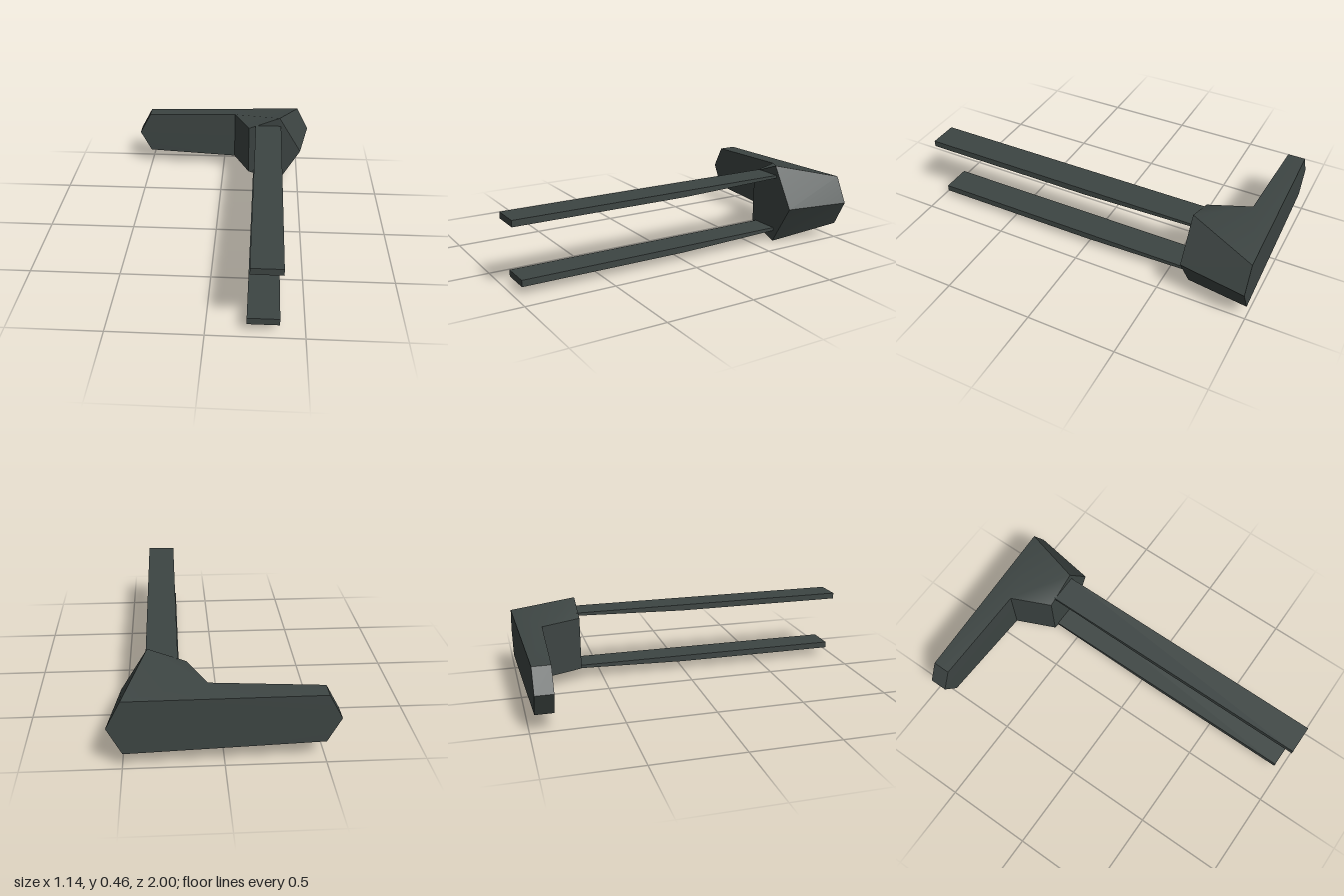
import * as THREE from 'three';
import { toCreasedNormals } from 'three/addons/utils/BufferGeometryUtils.js';

const darkMetal = new THREE.MeshStandardMaterial({ color: 0x3d4543 });
darkMetal.name = 'darkMetal';

// Solid from corner points and convex polygons, fanned into triangles
function polySolid(corners, faces) {
  const index = [];
  for (const f of faces) {
    for (let i = 1; i < f.length - 1; i++) index.push(f[0], f[i], f[i + 1]);
  }
  const g = new THREE.BufferGeometry();
  g.setAttribute('position', new THREE.Float32BufferAttribute(corners.flat(), 3));
  g.setIndex(index);
  return toCreasedNormals(g, 0.65);
}

// Handle: long six-sided arm that swells into a faceted head
function makeHandle() {
  const corners = [
    // back plate 0-5
    [-0.57, 0.23, -0.97], [-0.5, 0.36, -0.97], [0.495, 0.375, -1],
    [0.57, 0.23, -1], [0.495, 0.085, -1], [-0.5, 0.1, -0.97],
    // front of the arm 6-10
    [-0.57, 0.23, -0.87], [-0.5, 0.36, -0.87], [0.075, 0.383, -0.855],
    [0.075, 0.077, -0.855], [-0.5, 0.1, -0.87],
    // front of the head 11-15
    [0.175, 0.385, -0.63], [0.37, 0.46, -0.63], [0.51, 0.23, -0.63],
    [0.37, 0, -0.63], [0.175, 0.075, -0.63],
  ];
  const faces = [
    [0, 1, 2, 3, 4, 5], [6, 10, 9, 8, 7], // back, arm front
    [8, 9, 15, 11], [11, 15, 14, 13, 12], // neck, head front
    [8, 2, 1, 7], [8, 11, 12], [8, 12, 2], // top
    [9, 10, 5, 4], [9, 14, 15], [9, 4, 14], // bottom
    [2, 12, 13, 3], [3, 13, 14, 4], // head side
    [0, 6, 7, 1], [5, 10, 6, 0], // arm tip
  ];
  const mesh = new THREE.Mesh(polySolid(corners, faces), darkMetal);
  mesh.name = 'handle';
  return mesh;
}

// Rail: flat bar whose underside thins out toward the handle
function makeRail(name, x0, x1, top, thick, thin, zEnd) {
  const side = new THREE.Shape([
    [-zEnd, top], [-zEnd, top - thick], [0, top - thick],
    [0.64, top - thin], [0.64, top],
  ].map(([x, y]) => new THREE.Vector2(x, y)));
  const g = new THREE.ExtrudeGeometry(side, { depth: x1 - x0, bevelEnabled: false });
  g.rotateY(Math.PI / 2).translate(x0, 0, 0);
  const mesh = new THREE.Mesh(g, darkMetal);
  mesh.name = name;
  return mesh;
}

export function createModel() {
  const model = new THREE.Group();
  model.name = 'twinRailHandle';
  model.add(
    makeHandle(),
    makeRail('upperRail', 0.217, 0.38, 0.405, 0.035, 0.016, 1),
    makeRail('lowerRail', 0.207, 0.372, 0.083, 0.036, 0.018, 0.96),
  );
  return model;
}
